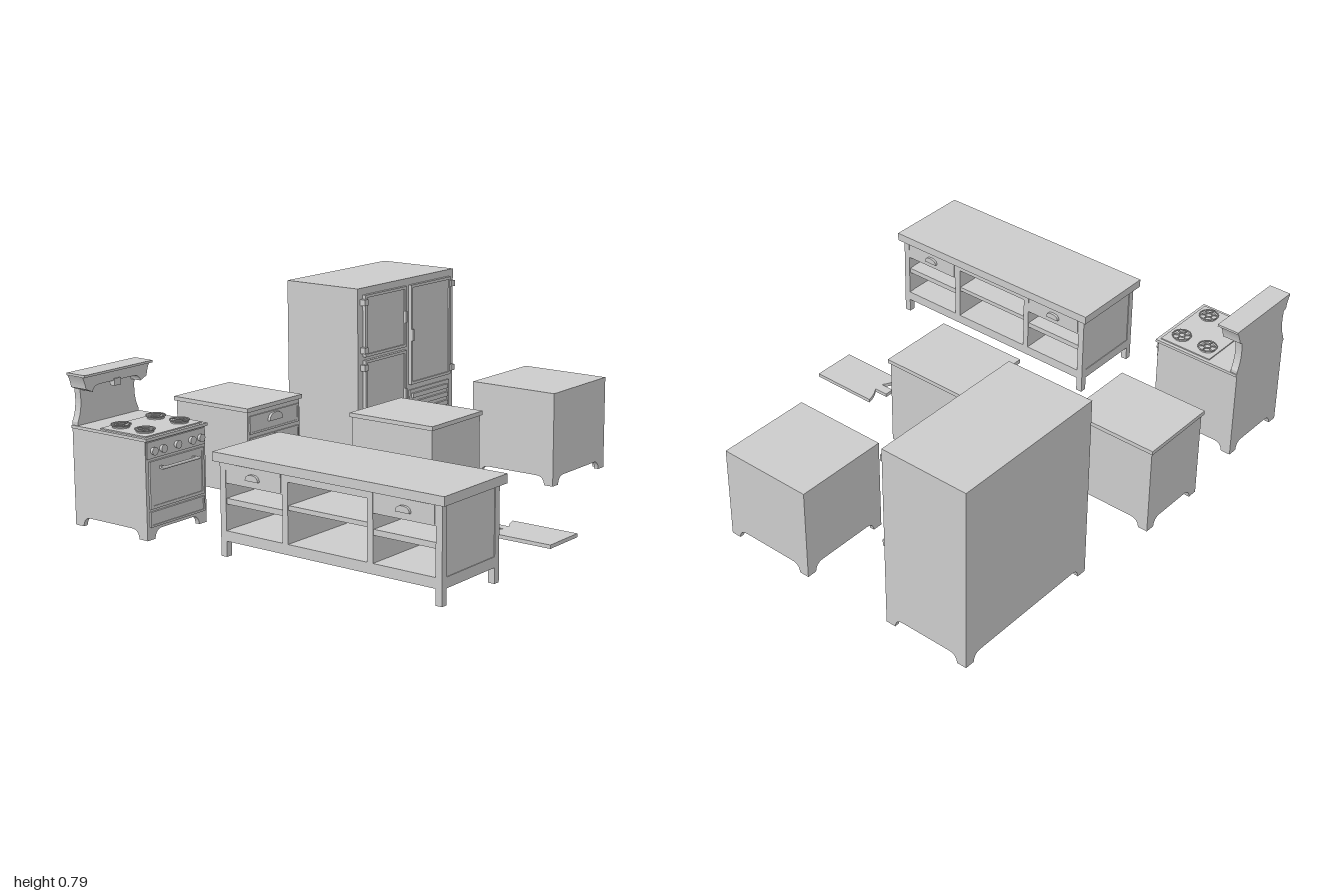
import * as THREE from 'three';

const mat = new THREE.MeshStandardMaterial({ color: 0xcccccc, side: THREE.DoubleSide });

function add(parent, name, geo) {
  const m = new THREE.Mesh(geo, mat);
  m.name = name;
  parent.add(m);
  return m;
}

function part(parent, name) {
  const g = new THREE.Group();
  g.name = name;
  parent.add(g);
  return g;
}

// box given by its limits
function box(parent, name, x0, x1, y0, y1, z0, z1) {
  const m = add(parent, name, new THREE.BoxGeometry(x1 - x0, y1 - y0, z1 - z0));
  m.position.set((x0 + x1) / 2, (y0 + y1) / 2, (z0 + z1) / 2);
  return m;
}

const extrude = (shape, depth) =>
  new THREE.ExtrudeGeometry(shape, { depth, bevelEnabled: false, curveSegments: 8 });

function rect(path, x0, x1, y0, y1) {
  return path.moveTo(x0, y0).lineTo(x1, y0).lineTo(x1, y1).lineTo(x0, y1).closePath();
}

// four corner feet, each of two curved brackets
function feet(parent, x0, x1, z0, z1, h = 0.037) {
  const s = new THREE.Shape();
  s.moveTo(0, 0).lineTo(0.042, 0);
  s.quadraticCurveTo(0.046, h, 0.08, h);
  s.lineTo(0, h).closePath();
  const geo = extrude(s, 0.02);
  for (const sx of [1, -1]) for (const sz of [1, -1]) {
    const foot = part(parent, 'bracketFoot');
    foot.position.set(sx > 0 ? x0 : x1, 0, sz > 0 ? z0 : z1);
    foot.scale.set(sx, 1, sz);
    add(foot, 'footFront', geo);
    const side = add(foot, 'footSide', geo);
    side.rotation.y = -Math.PI / 2;
    side.position.x = 0.02;
  }
}

// framed panel lying on the plane z, facing +z
function panel(parent, name, x0, x1, y0, y1, z, t = 0.015, rim = 0.012) {
  const g = part(parent, name);
  const s = rect(new THREE.Shape(), x0, x1, y0, y1);
  s.holes.push(rect(new THREE.Path(), x0 + rim, x1 - rim, y0 + rim, y1 - rim));
  add(g, 'frame', extrude(s, t)).position.z = z;
  box(g, 'field', x0 + rim, x1 - rim, y0 + rim, y1 - rim, z - 0.003, z + t * 0.6);
}

function knob(parent, x, y, z, r, d = 0.015) {
  const m = add(parent, 'knob', new THREE.CylinderGeometry(r, r * 0.8, d, 16));
  m.rotation.x = Math.PI / 2;
  m.position.set(x, y, z + d / 2);
}

// half-round cup pull facing +z
function cupPull(parent, x, y, z, r = 0.03) {
  const s = new THREE.Shape();
  s.moveTo(-r, 0).quadraticCurveTo(-r, r * 0.8, 0, r * 0.8).quadraticCurveTo(r, r * 0.8, r, 0).closePath();
  add(parent, 'cupPull', extrude(s, 0.012)).position.set(x, y, z);
}

// plain cabinet with feet and an optional overhanging top
function cabinet(root, name, x0, x1, z0, z1, over) {
  const g = part(root, name);
  const top = over ? 0.378 : 0.395;
  const a = x0 + over, b = x1 - over, c = z0 + over, d = z1 - over;
  box(g, 'body', a, b, 0.037, top, c, d);
  if (over) box(g, 'worktop', x0, x1, top, 0.395, z0, z1);
  feet(g, a, b, c, d);
  return g;
}

function stove(root) {
  const g = part(root, 'stove');
  const cx = -0.815;
  box(g, 'body', -0.98, -0.65, 0.037, 0.385, -0.85, -0.47);
  box(g, 'cooktop', -0.985, -0.645, 0.385, 0.397, -0.85, -0.46);
  box(g, 'hob', -0.97, -0.66, 0.397, 0.402, -0.71, -0.475);
  feet(g, -0.98, -0.65, -0.85, -0.47);
  // burners: dish, rings and spokes
  for (const x of [-0.91, -0.72]) for (const z of [-0.66, -0.535]) {
    const b = part(g, 'burner');
    b.position.set(x, 0.404, z);
    add(b, 'dish', new THREE.CylinderGeometry(0.034, 0.034, 0.005, 24));
    for (const r of [0.038, 0.014]) {
      const ring = add(b, 'ring', new THREE.TorusGeometry(r, 0.003, 6, 24));
      ring.rotation.x = Math.PI / 2;
      ring.position.y = 0.009;
    }
    for (let i = 0; i < 6; i++) {
      const a = (i * Math.PI) / 3;
      const spoke = box(b, 'spoke', -0.012, 0.012, 0.007, 0.012, -0.002, 0.002);
      spoke.position.x = 0.026 * Math.cos(a);
      spoke.position.z = -0.026 * Math.sin(a);
      spoke.rotation.y = a;
    }
  }
  // front: control panel, oven door, drawer
  box(g, 'controlPanel', -0.975, -0.655, 0.315, 0.38, -0.47, -0.465);
  for (const dx of [-0.13, -0.08, 0, 0.08, 0.13]) knob(g, cx + dx, 0.345, -0.465, 0.016);
  panel(g, 'ovenDoor', -0.965, -0.665, 0.12, 0.305, -0.47, 0.008);
  panel(g, 'lowerDrawer', -0.965, -0.665, 0.05, 0.11, -0.47, 0.008, 0.008);
  const bar = add(g, 'ovenHandle', new THREE.CylinderGeometry(0.006, 0.006, 0.21, 10));
  bar.rotation.z = Math.PI / 2;
  bar.position.set(cx, 0.275, -0.444);
  for (const s of [-1, 1]) box(g, 'handlePost', cx + s * 0.09 - 0.005, cx + s * 0.09 + 0.005, 0.27, 0.28, -0.468, -0.444);
  // backsplash with waisted sides
  const back = new THREE.Shape();
  back.moveTo(-0.165, 0.39).lineTo(0.165, 0.39).lineTo(0.165, 0.41);
  back.quadraticCurveTo(0.138, 0.46, 0.148, 0.53).lineTo(0.15, 0.56).lineTo(-0.15, 0.56).lineTo(-0.148, 0.53);
  back.quadraticCurveTo(-0.138, 0.46, -0.165, 0.41).closePath();
  add(g, 'backsplash', extrude(back, 0.03)).position.set(cx, 0, -0.85);
  // hood with an arched lower edge
  const hood = new THREE.Shape();
  hood.moveTo(-0.165, 0.545).lineTo(-0.13, 0.53).quadraticCurveTo(-0.125, 0.553, -0.095, 0.555);
  hood.lineTo(0.095, 0.555).quadraticCurveTo(0.125, 0.553, 0.13, 0.53).lineTo(0.165, 0.545);
  hood.quadraticCurveTo(0.168, 0.57, 0.182, 0.595).lineTo(-0.182, 0.595);
  hood.quadraticCurveTo(-0.168, 0.57, -0.165, 0.545);
  add(g, 'hood', extrude(hood, 0.08)).position.set(cx, 0, -0.85);
  box(g, 'hoodShelf', -1, -0.63, 0.595, 0.604, -0.85, -0.755);
  box(g, 'hoodBadge', cx - 0.018, cx + 0.018, 0.535, 0.563, -0.79, -0.765);
}

function sideboard(root) {
  const g = cabinet(root, 'sideboard', -0.37, -0.03, -0.89, -0.495, 0.008);
  const z = -0.503;
  panel(g, 'drawer', -0.352, -0.048, 0.285, 0.36, z, 0.006, 0.008);
  panel(g, 'leftDoor', -0.197, -0.048, 0.065, 0.27, z, 0.006, 0.008);
  panel(g, 'rightDoor', -0.352, -0.203, 0.065, 0.27, z, 0.006, 0.008);
  cupPull(g, -0.2, 0.322, z + 0.003, 0.04);
  for (const x of [-0.235, -0.16]) knob(g, x, 0.23, z + 0.003, 0.012);
}

function fridge(root) {
  const g = part(root, 'refrigerator');
  const z = -0.46;
  box(g, 'body', 0.3, 0.99, 0.037, 0.79, -0.84, z);
  feet(g, 0.3, 0.99, -0.84, z);
  const doors = [
    ['upperDoor', 0.335, 0.625, 0.495, 0.76, 0.33],
    ['lowerDoor', 0.335, 0.625, 0.095, 0.48, 0.33],
    ['tallDoor', 0.66, 0.955, 0.32, 0.76, 0.96],
  ];
  for (const [name, x0, x1, y0, y1, hx] of doors) {
    panel(g, name, x0, x1, y0, y1, z, 0.015);
    for (const y of [y0 + 0.03, y1 - 0.03]) box(g, 'hinge', hx - 0.012, hx + 0.012, y - 0.013, y + 0.013, z, z + 0.024);
    const lx = hx < 0.6 ? 0.617 : 0.668;
    box(g, 'latch', lx - 0.006, lx + 0.006, (y0 + y1) / 2 - 0.025, (y0 + y1) / 2 + 0.025, z, z + 0.022);
  }
  // ventilation grille
  panel(g, 'grille', 0.66, 0.955, 0.085, 0.295, z, 0.006);
  for (let i = 0; i < 5; i++) {
    const y = 0.11 + i * 0.037;
    box(g, 'slat', 0.678, 0.937, y, y + 0.02, z, z + 0.014);
  }
}

function island(root) {
  const g = part(root, 'island');
  g.position.set(-0.78, 0, 0.3725);
  const X = 0.172, Z = 0.497;
  box(g, 'worktop', -0.19, 0.19, 0.36, 0.395, -0.5175, 0.5175);
  box(g, 'bottomShelf', -X, X, 0.06, 0.1, -Z, Z);
  box(g, 'middleShelf', -X + 0.005, X - 0.005, 0.225, 0.243, -0.178, 0.178);
  box(g, 'middleRail', -X, X, 0.33, 0.36, -0.178, 0.178);
  for (const s of [-1, 1]) {
    const span = (name, a, b, y0, y1, w) => box(g, name, -w, w, y0, y1, Math.min(s * a, s * b), Math.max(s * a, s * b));
    span('divider', 0.178, 0.203, 0.1, 0.36, X);
    span('sideShelf', 0.203, 0.472, 0.2, 0.222, X - 0.005);
    span('drawerBox', 0.203, 0.472, 0.28, 0.36, X - 0.002);
    span('endPanel', 0.472, Z - 0.003, 0.06, 0.36, X - 0.003);
    for (const e of [-1, 1]) {
      // legs and drawer fronts on both long sides
      const x = e * (X - 0.0135), z = s * (Z - 0.0135);
      box(g, 'leg', x - 0.0135, x + 0.0135, 0, 0.36, z - 0.0135, z + 0.0135);
      const front = part(g, 'drawerFront');
      front.rotation.y = (e * Math.PI) / 2;
      front.position.set(e * (X - 0.002), 0, s * 0.3375);
      box(front, 'drawerFace', -0.128, 0.128, 0.286, 0.354, 0, 0.003);
      cupPull(front, 0, 0.308, 0.002);
    }
  }
}

function cuttingBoard(root) {
  const s = new THREE.Shape();
  s.moveTo(-0.095, -0.8).lineTo(0.095, -0.8).lineTo(0.095, -0.507);
  s.quadraticCurveTo(0.055, -0.515, 0.02, -0.54).lineTo(0.02, -0.48).lineTo(-0.02, -0.48).lineTo(-0.02, -0.54);
  s.quadraticCurveTo(-0.055, -0.515, -0.095, -0.507).closePath();
  const m = add(root, 'cuttingBoard', extrude(s, 0.015));
  m.rotation.x = -Math.PI / 2;
  m.position.x = -0.066;
}

export function createModel() {
  const root = new THREE.Group();
  root.name = 'kitchenSet';
  stove(root);
  sideboard(root);
  fridge(root);
  island(root);
  cabinet(root, 'counterCabinet', -0.18, 0.16, -0.13, 0.272, 0.008);
  cabinet(root, 'plainCabinet', 0.592, 0.998, -0.072, 0.332, 0);
  cuttingBoard(root);
  return root;
}
